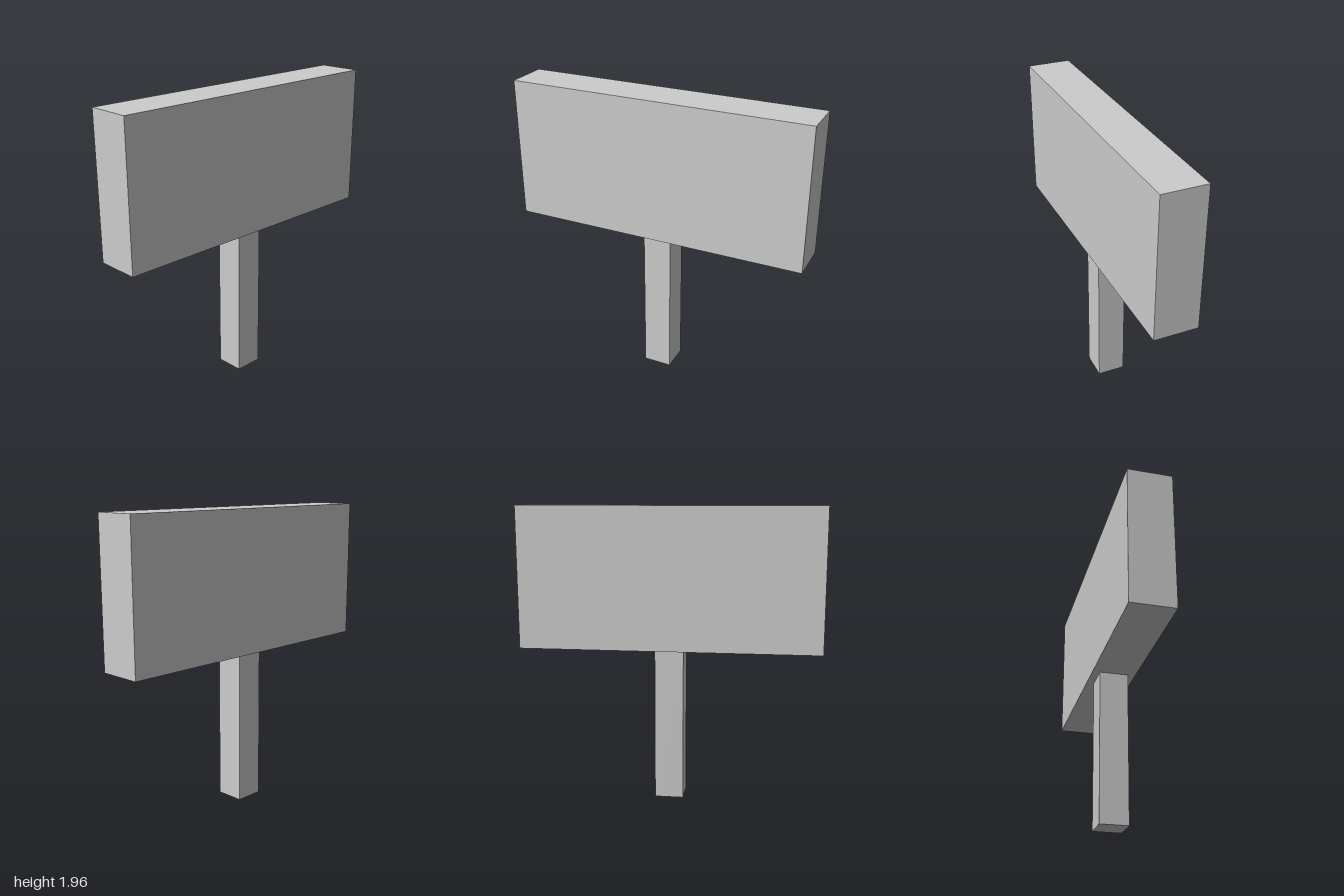
import * as THREE from 'three';

export function createModel() {
  const group = new THREE.Group();
  group.name = 'signpost';
  const material = new THREE.MeshStandardMaterial({ color: 0xcccccc, flatShading: true });

  // Box resting on the given base height
  const addBox = (name, width, height, depth, base) => {
    const mesh = new THREE.Mesh(new THREE.BoxGeometry(width, height, depth), material);
    mesh.name = name;
    mesh.position.y = base + height / 2;
    group.add(mesh);
  };

  // Square post carrying a wide, thick board
  const postHeight = 1.02;
  addBox('post', 0.19, postHeight, 0.19, 0);
  addBox('signBoard', 2, 0.94, 0.29, postHeight);

  return group;
}
